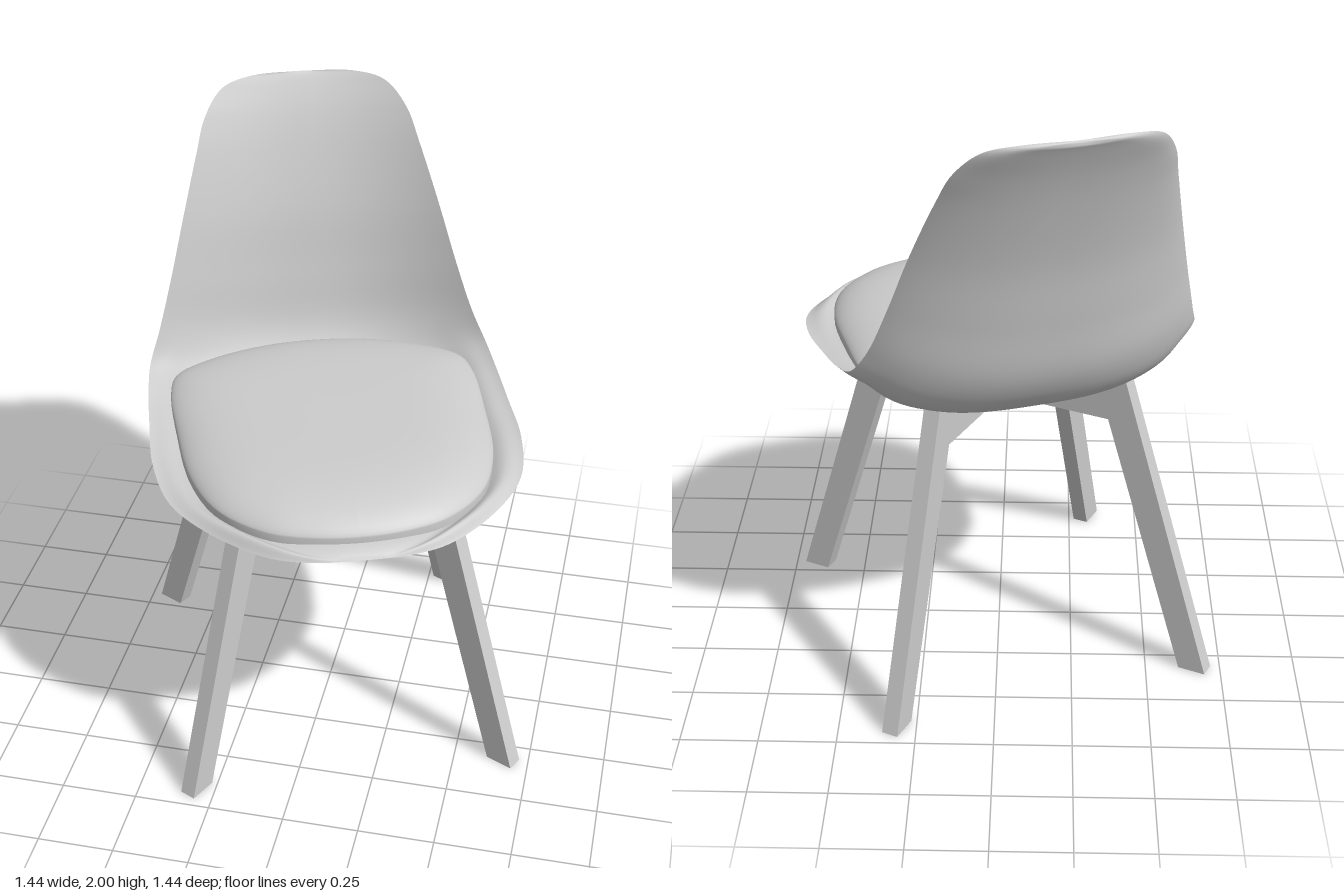
import * as THREE from 'three';

const { smoothstep } = THREE.MathUtils;
const grey = new THREE.MeshStandardMaterial({ color: 0xcccccc });
grey.name = 'light grey';

// grid of points -> indexed smooth geometry
function gridGeometry(points, width, flip) {
  const geo = new THREE.BufferGeometry().setFromPoints(points);
  const index = [];
  for (let r = 0; r < points.length / width - 1; r++) {
    for (let i = 0; i < width - 1; i++) {
      const a = r * width + i, b = a + 1, c = a + width, d = c + 1;
      if (flip) index.push(a, c, b, b, c, d);
      else index.push(a, b, c, b, d, c);
    }
  }
  geo.setIndex(index);
  geo.computeVertexNormals();
  return geo;
}

function mesh(name, geo) {
  const m = new THREE.Mesh(geo, grey);
  m.name = name;
  return m;
}

// bucket shell: each row runs from rim to rim through the centre line
function makeShell() {
  // rim half-width, rim z, rim y, centre z, centre y
  const rows = [
    [0.02, 0.71, 1.035, 0.71, 1.035],
    [0.14, 0.704, 1.035, 0.695, 1.05],
    [0.27, 0.668, 1.035, 0.655, 1.064],
    [0.43, 0.55, 1.045, 0.575, 1.062],
    [0.55, 0.39, 1.06, 0.42, 1.025],
    [0.592, 0.2, 1.085, 0.22, 0.988],
    [0.59, 0, 1.105, 0.0, 0.977],
    [0.583, -0.16, 1.13, -0.2, 0.982],
    [0.568, -0.275, 1.17, -0.37, 1.03],
    [0.53, -0.34, 1.26, -0.462, 1.15],
    [0.48, -0.4, 1.42, -0.51, 1.35],
    [0.43, -0.46, 1.6, -0.552, 1.56],
    [0.37, -0.545, 1.8, -0.613, 1.77],
    [0.335, -0.6, 1.9, -0.652, 1.88],
    [0.27, -0.66, 1.975, -0.685, 1.955],
    [0.17, -0.695, 1.998, -0.703, 1.99],
    [0.02, -0.71, 2.0, -0.71, 2.0],
  ];
  const rim = new THREE.CatmullRomCurve3(rows.map(r => new THREE.Vector3(r[0], r[2], r[1])));
  const mid = new THREE.CatmullRomCurve3(rows.map(r => new THREE.Vector3(0, r[4], r[3])));
  const R = 96, W = 57, inner = [], taper = [];
  for (let j = 0; j <= R; j++) {
    const t = j / R, p = rim.getPoint(t), c = mid.getPoint(t);
    // the seat is a boxier dish with a drooping lip; the backrest is rounder
    const power = 3 - 0.7 * smoothstep(t, 0.45, 0.65);
    const lip = 0.028 * smoothstep(t, 0.03, 0.18) * (1 - smoothstep(t, 0.4, 0.58));
    const thick = (0.02 - 0.006 * smoothstep(t, 0.5, 0.7)) * Math.sqrt(Math.min(1, j / 6, (R - j) / 6));
    for (let i = 0; i < W; i++) {
      const s = Math.sin((i / (W - 1) - 0.5) * Math.PI);
      const h = Math.abs(s) ** power;
      const bump = lip * Math.exp(-(((Math.abs(s) - 0.88) / 0.09) ** 2));
      inner.push(new THREE.Vector3(p.x * s, c.y + (p.y - c.y) * h + bump, c.z + (p.z - c.z) * h));
      taper.push(thick * (1 - s ** 10));
    }
  }
  const front = gridGeometry(inner, W, false);
  const n = front.attributes.normal;
  // the back face is the front face pushed out, closing at the rim
  const outer = inner.map((p, i) =>
    p.clone().addScaledVector(new THREE.Vector3().fromBufferAttribute(n, i), -taper[i]));
  const shell = new THREE.Group();
  shell.name = 'shell';
  shell.add(mesh('shellInside', front), mesh('shellOutside', gridGeometry(outer, W, true)));
  return shell;
}

// padded cushion: loops shrinking from the edge towards the middle
function makeCushion() {
  const half = [[0.15, 0.645], [0.28, 0.6], [0.41, 0.48], [0.48, 0.3], [0.505, 0.03],
    [0.508, -0.18], [0.48, -0.28], [0.36, -0.36], [0.17, -0.42]];
  const edge = [[0, 0.66], ...half, [0, -0.435], ...half.slice().reverse().map(([x, z]) => [-x, z])];
  const curve = new THREE.CatmullRomCurve3(edge.map(([x, z]) => new THREE.Vector3(x, 0, z)), true);
  const N = 96, rings = 18, zc = 0.1, pts = [];
  for (let k = -1; k <= rings; k++) {
    const r = k < 0 ? 1 : Math.max(0.001, Math.cos((k / rings) * Math.PI / 2));
    for (let i = 0; i <= N; i++) {
      const p = curve.getPoint((i % N) / N);
      const base = 1.108 - 0.04 * p.z;
      const y = k < 0 ? base - 0.025 : base + (1.17 - base) * (1 - r ** 5) ** 0.7;
      pts.push(new THREE.Vector3(p.x * r, y, zc + (p.z - zc) * r));
    }
  }
  return mesh('cushion', gridGeometry(pts, N + 1, false));
}

// two crossing frames, each a pair of splayed legs joined by a beam
function makeLegs() {
  const legs = new THREE.Group();
  legs.name = 'legs';
  const side = [[0, 0.88], [0.406, 0.88], [0.688, 0], [0.782, 0], [0.462, 1.035],
    [0.4, 1.035], [0.3, 0.97], [0, 0.94]];
  const outline = [...side, ...side.slice(1, -1).reverse().map(([x, y]) => [-x, y])];
  const shape = new THREE.Shape(outline.map(([x, y]) => new THREE.Vector2(x, y)));
  for (const turn of [1, -1]) {
    const geo = new THREE.ExtrudeGeometry(shape, { depth: 0.055, bevelEnabled: false });
    geo.translate(0, 0, -0.0275);
    const frame = mesh('legFrame', geo);
    frame.rotation.y = turn * Math.PI / 4;
    legs.add(frame);
  }
  return legs;
}

// thin slanted ribs tying the beams to the underside of the shell
function makeRibs() {
  const ribs = new THREE.Group();
  ribs.name = 'mountRibs';
  for (let i = 0; i < 8; i++) {
    const pivot = new THREE.Group();
    pivot.rotation.y = (i + 0.5) * Math.PI / 4;
    const rib = mesh('rib', new THREE.BoxGeometry(0.03, 0.07, 0.015));
    rib.position.set(0.13, 0.952, 0);
    rib.rotation.z = -0.7;
    pivot.add(rib);
    ribs.add(pivot);
  }
  return ribs;
}

export function createModel() {
  const chair = new THREE.Group();
  chair.name = 'chair';
  chair.add(makeShell(), makeCushion(), makeLegs(), makeRibs());
  chair.rotation.y = 0.345;
  const model = new THREE.Group();
  model.name = 'model';
  model.add(chair);
  return model;
}
